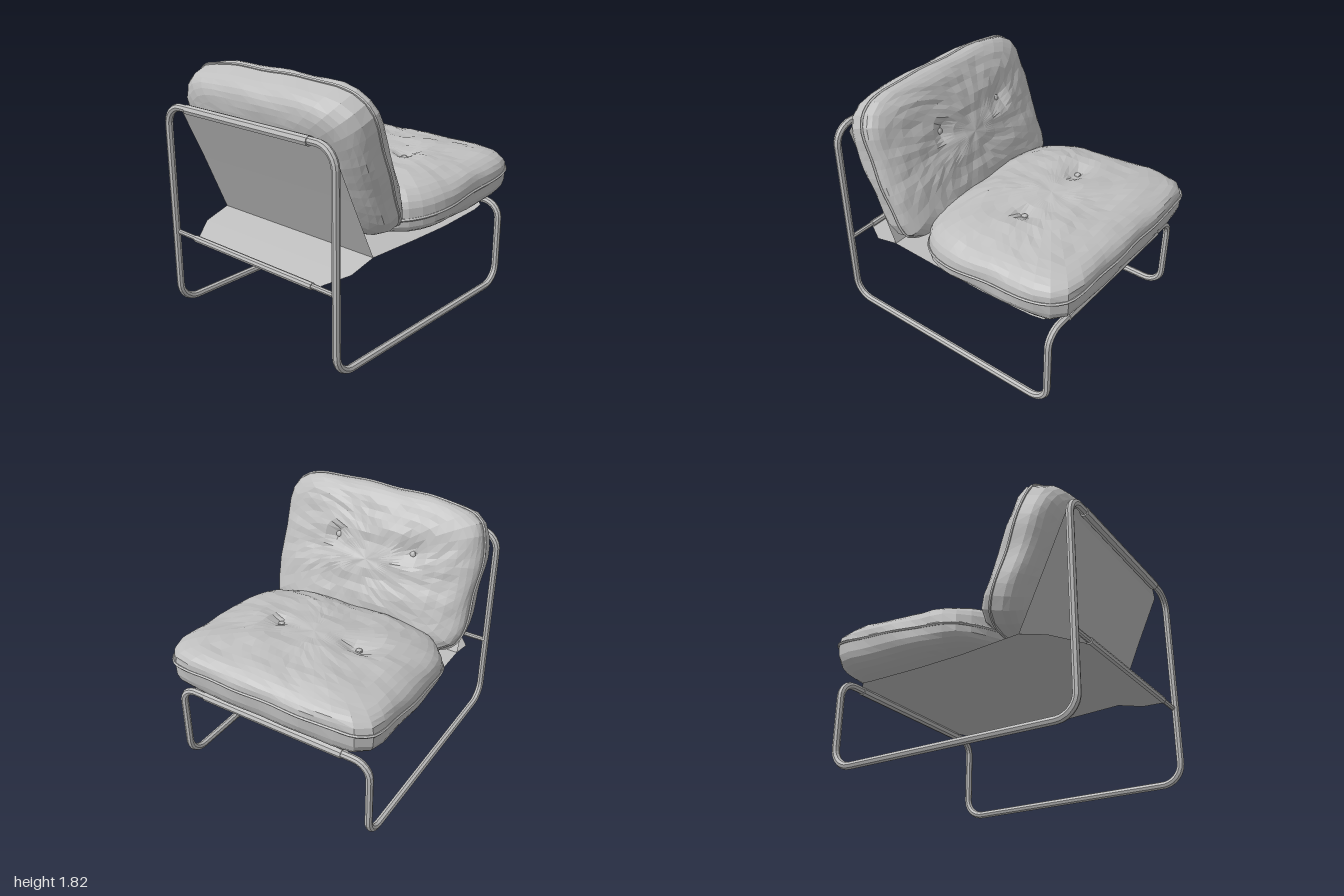
import * as THREE from 'three';

const grey = new THREE.MeshStandardMaterial({ color: 0xbebebe, flatShading: true, side: THREE.DoubleSide });
grey.name = 'grey';

const V = (x, y, z) => new THREE.Vector3(x, y, z);

function part(name, geometry, parent) {
  const mesh = new THREE.Mesh(geometry, grey);
  mesh.name = name;
  parent.add(mesh);
  return mesh;
}

// Closed path through corner points [x, y, z, radius] with rounded corners
function roundedLoop(corners) {
  const path = new THREE.CurvePath();
  path.arcLengthDivisions = 800;
  const n = corners.length;
  const bends = corners.map((c, i) => {
    const p = V(c[0], c[1], c[2]);
    const toward = (q) => V(q[0], q[1], q[2]).sub(p).normalize().multiplyScalar(c[3]).add(p);
    return { p, a: toward(corners[(i + n - 1) % n]), b: toward(corners[(i + 1) % n]) };
  });
  bends.forEach(({ p, a, b }, i) => {
    // Cubic bend approximating a quarter circle
    path.add(new THREE.CubicBezierCurve3(a, a.clone().lerp(p, 0.55), b.clone().lerp(p, 0.55), b));
    path.add(new THREE.LineCurve3(b, bends[(i + 1) % n].a));
  });
  return path;
}

// Horizontal rod along x
function rod(name, y, z, radius, length, parent) {
  const g = new THREE.CylinderGeometry(radius, radius, length, 8);
  g.rotateZ(Math.PI / 2);
  g.translate(0, y, z);
  return part(name, g, parent);
}

// Sheet through cross-sections [half width, y, z]
function sheet(name, rows, parent) {
  const pos = [], index = [];
  rows.forEach(([w, y, z], i) => {
    pos.push(-w, y, z, w, y, z);
    if (i) {
      const k = 2 * i;
      index.push(k - 2, k - 1, k, k - 1, k + 1, k);
    }
  });
  const g = new THREE.BufferGeometry();
  g.setAttribute('position', new THREE.Float32BufferAttribute(pos, 3));
  g.setIndex(index);
  g.computeVertexNormals();
  return part(name, g, parent);
}

// Soft tufted cushion: a sphere reshaped to a rounded rectangle, thickness along local y
function cushion(name, o) {
  const group = new THREE.Group();
  group.name = name;

  const place = (x, y, z) => {
    const r = Math.min(1, Math.hypot(x, z));
    let a = 0, b = 0;
    if (r > 1e-6) {
      const p = z > 0 ? o.cornerPlus : o.cornerMinus;
      const k = Math.pow(Math.abs(x / r) ** p + Math.abs(z / r) ** p, -1 / p);
      a = x * k;
      b = z * k;
    }
    const n = y > 0 ? o.roundTop : o.roundBottom;
    const f = Math.abs(y) < 1e-6 ? 0 : Math.pow(Math.max(0, 1 - r ** n), 1 / n);
    const v = V(a * o.width(b), o.seam(b), b * o.length);
    // Broad lumps and fine creases
    const lump = 0.011 * Math.sin(7 * a + 4 * b + o.seed) * Math.sin(9 * b - 3 * a)
      + 0.007 * Math.sin(23 * a - 11 * b + o.seed) * Math.sin(19 * b + 13 * a);
    if (y > 0) {
      v.y += f * (o.top(b) + lump);
      // Dimples pulled in around the buttons
      for (const [bx, bz] of o.buttons) {
        const d = Math.hypot(v.x - bx, v.z - bz);
        v.y -= 0.055 * Math.exp(-((d / 0.075) ** 2));
      }
    } else v.y -= f * (o.bottom(b) + lump * 0.3);
    const edge = 1 + r * r * 0.008 * Math.sin(11 * a + 8 * b + 6 * y + o.seed);
    v.x *= edge;
    v.z *= edge;
    return v;
  };

  const g = new THREE.SphereGeometry(1, 52, 26);
  const pos = g.attributes.position;
  for (let i = 0; i < pos.count; i++) {
    const v = place(pos.getX(i), pos.getY(i), pos.getZ(i));
    pos.setXYZ(i, v.x, v.y, v.z);
  }
  g.computeVertexNormals();
  part(name + 'Padding', g, group);

  // Piping around the seam
  const loop = [];
  for (let i = 0; i < 52; i++) {
    const t = (i / 52) * Math.PI * 2;
    loop.push(place(Math.cos(t), 0, Math.sin(t)));
  }
  part(name + 'Piping', new THREE.TubeGeometry(new THREE.CatmullRomCurve3(loop, true), 104, 0.011, 5, true), group);

  // Buttons
  for (const [bx, bz] of o.buttons) {
    const button = part(name + 'Button', new THREE.SphereGeometry(0.026, 8, 6), group);
    button.scale.y = 0.6;
    const b = bz / o.length;
    button.position.set(bx, o.seam(b) + o.top(b) - 0.05, bz);
  }
  return group;
}

export function createModel() {
  const model = new THREE.Group();
  model.name = 'loungeChair';

  // Bent tube frame, one continuous loop
  const X = 0.772, B = 0.97, F = -0.86;
  const loop = roundedLoop([
    [-X, 1.515, B, 0.14], [-X, 0.028, B, 0.14], [-X, 0.028, F, 0.14], [-X, 0.665, F, 0.12],
    [X, 0.665, F, 0.12], [X, 0.028, F, 0.14], [X, 0.028, B, 0.14], [X, 1.515, B, 0.14],
  ]);
  part('tubeFrame', new THREE.TubeGeometry(loop, 320, 0.027, 8, true), model);
  rod('lowerBackBar', 0.58, 0.96, 0.018, 2 * X, model);

  // Fabric sleeves wrapped around the bars
  rod('topSleeve', 1.512, B, 0.034, 1.13, model);
  rod('lowerSleeve', 0.578, 0.96, 0.025, 1.13, model);
  rod('frontSleeve', 0.665, F, 0.034, 1.13, model);

  // Sling: back panel, seat panel and the tie down to the lower bar
  sheet('backSling', [[0.57, 1.54, 0.95], [0.7, 1.48, 0.915], [0.7, 1.1, 0.74], [0.71, 0.675, 0.55]], model);
  sheet('seatSling', [[0.71, 0.675, 0.55], [0.7, 0.65, 0.1], [0.7, 0.642, -0.25], [0.69, 0.65, -0.65],
    [0.68, 0.66, -0.75], [0.57, 0.685, F]], model);
  sheet('slingTie', [[0.71, 0.675, 0.55], [0.7, 0.62, 0.75], [0.57, 0.56, 0.95]], model);

  // Seat cushion
  const seat = cushion('seatCushion', {
    width: () => 0.835, length: 0.67, cornerPlus: 3.6, cornerMinus: 8,
    roundTop: 3, roundBottom: 3.2, seed: 1,
    seam: (b) => -0.07 * b, top: (b) => 0.225 + 0.045 * b, bottom: (b) => 0.225 - 0.07 * b,
    buttons: [[-0.35, 0.015], [0.29, 0.015]],
  });
  seat.position.set(0, 0.885, -0.315);
  model.add(seat);

  // Back cushion, leaning against the sling
  const back = cushion('backCushion', {
    width: (b) => 0.81 + 0.01 * b, length: 0.54, cornerPlus: 5, cornerMinus: 7,
    roundTop: 2.8, roundBottom: 4, seed: 4,
    seam: (b) => -0.022 * (1 - b * b), top: (b) => 0.185 - 0.01 * b, bottom: (b) => 0.25 + 0.03 * b,
    buttons: [[-0.34, 0.12], [0.28, 0.12]],
  });
  back.rotation.x = -1.208;
  back.position.set(0, 1.3, 0.52);
  model.add(back);

  return model;
}
